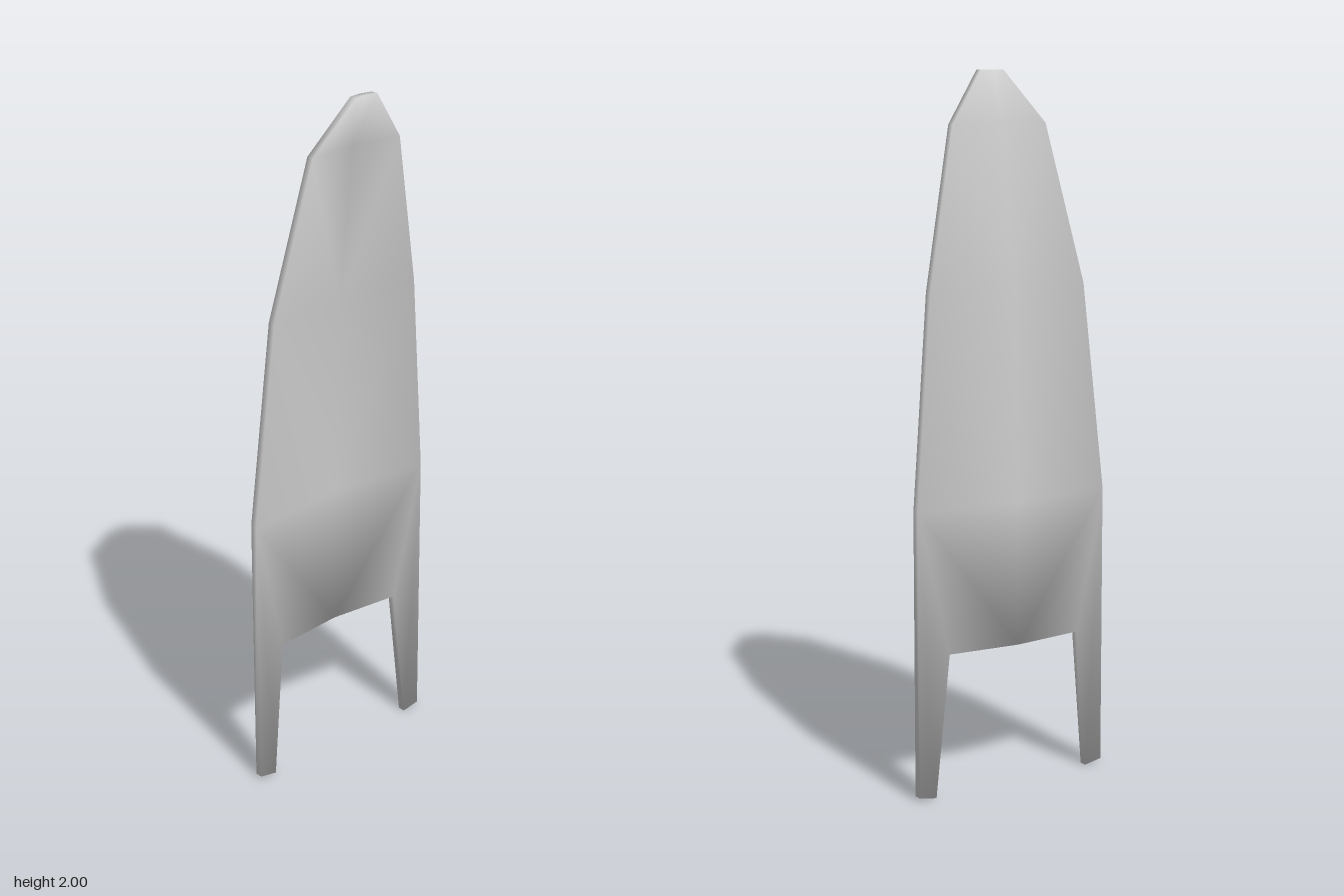
import * as THREE from 'three';
import { mergeVertices } from 'three/addons/utils/BufferGeometryUtils.js';

const THICKNESS = 0.022;

// One half of the plate's back surface: [x, y, z], spine points on x = 0
const half = [
  [0, 2, 0.048], [0.037, 2, 0.054],            // tip
  [0, 1.855, 0], [0.152, 1.855, 0.017],        // shoulder
  [0, 1.41, -0.053], [0.253, 1.41, -0.027],    // upper body
  [0, 0.82, -0.078], [0.31, 0.82, -0.048],     // widest row
  [0, 0.41, -0.078], [0.215, 0.41, -0.057],    // lower edge and crotch
  [0.255, 0, -0.048], [0.31, 0.01, -0.048],    // prong foot
];
const faces = [
  [0, 2, 1], [2, 3, 1], [2, 4, 3], [4, 5, 3], [4, 6, 5], [6, 7, 5],
  [6, 8, 7], [8, 9, 7], [9, 10, 7], [10, 11, 7],
];
const rim = [0, 1, 3, 5, 7, 11, 10, 9, 8];

// Smooth normals weighted by corner angle, so the thin rim softens the edges
function smoothNormals(geometry) {
  const pos = geometry.attributes.position;
  const index = geometry.index;
  const sums = Array.from({ length: pos.count }, () => new THREE.Vector3());
  for (let i = 0; i < index.count; i += 3) {
    const ids = [0, 1, 2].map((k) => index.getX(i + k));
    const p = ids.map((id) => new THREE.Vector3().fromBufferAttribute(pos, id));
    const normal = new THREE.Triangle(...p).getNormal(new THREE.Vector3());
    ids.forEach((id, k) => {
      const a = p[(k + 1) % 3].clone().sub(p[k]);
      const b = p[(k + 2) % 3].clone().sub(p[k]);
      sums[id].addScaledVector(normal, a.angleTo(b));
    });
  }
  const normals = sums.flatMap((n) => n.normalize().toArray());
  geometry.setAttribute('normal', new THREE.Float32BufferAttribute(normals, 3));
}

function plateGeometry() {
  const positions = [];
  for (const side of [1, -1]) {
    const point = (i, front) => {
      const [x, y, z] = half[i];
      return [x * side, y, z + (front ? THICKNESS : 0)];
    };
    const triangle = (a, b, c) =>
      positions.push(...a, ...(side > 0 ? b : c), ...(side > 0 ? c : b));

    // Front and back skins
    for (const [a, b, c] of faces) {
      triangle(point(a, true), point(b, true), point(c, true));
      triangle(point(a, false), point(c, false), point(b, false));
    }
    // Narrow rim joining the skins
    for (let i = 0; i < rim.length - 1; i++) {
      const [a, b] = [rim[i], rim[i + 1]];
      triangle(point(a, true), point(b, true), point(b, false));
      triangle(point(a, true), point(b, false), point(a, false));
    }
  }
  const soup = new THREE.BufferGeometry();
  soup.setAttribute('position', new THREE.Float32BufferAttribute(positions, 3));
  const geometry = mergeVertices(soup);
  smoothNormals(geometry);
  return geometry;
}

export function createModel() {
  const group = new THREE.Group();
  group.name = 'curvedPlate';
  const plate = new THREE.Mesh(
    plateGeometry(),
    new THREE.MeshStandardMaterial({ color: 0xcccccc })
  );
  plate.name = 'prongedPlate';
  group.add(plate);
  return group;
}
